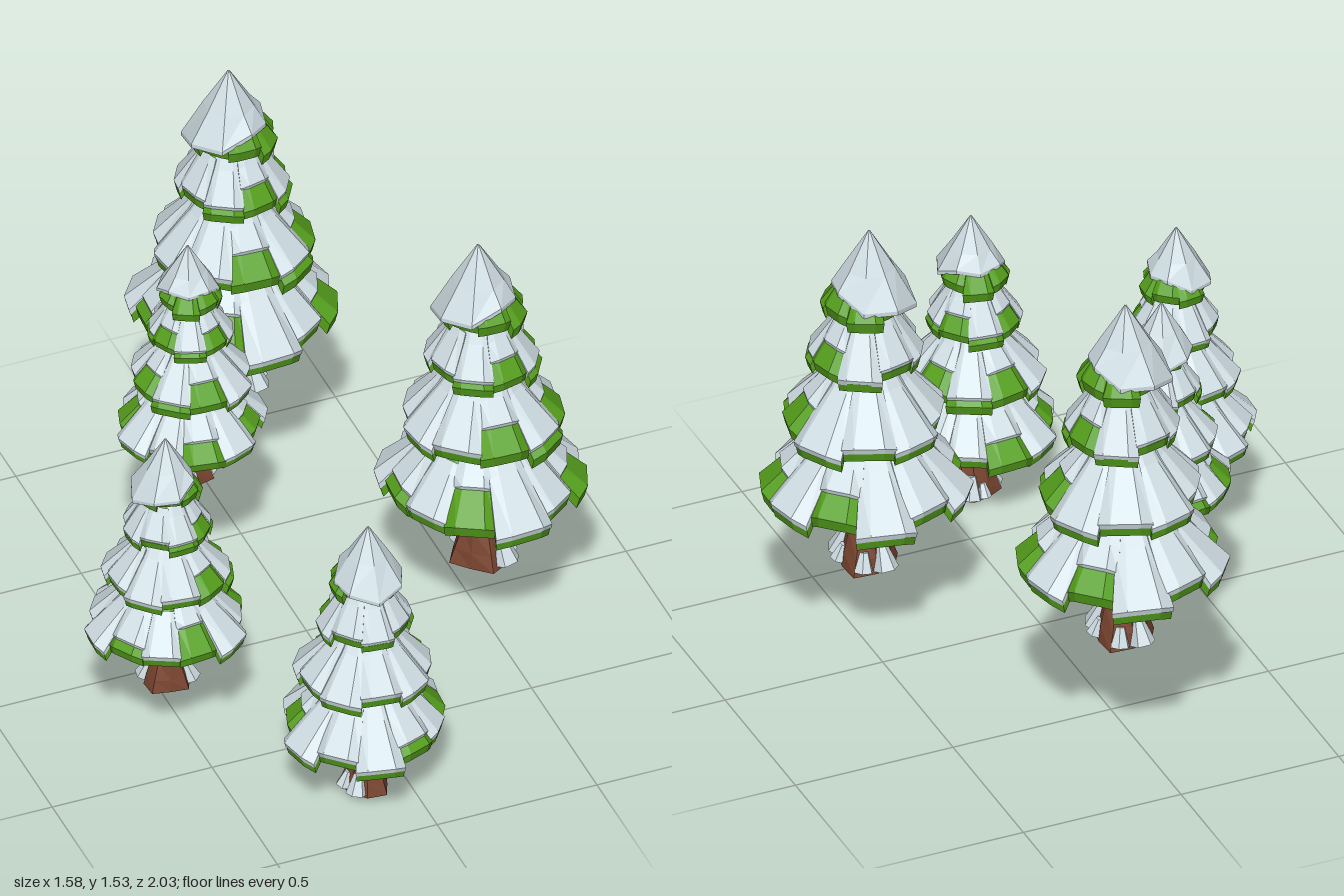
import * as THREE from 'three';

const material = (name, color) => {
  const m = new THREE.MeshStandardMaterial({ color, flatShading: true });
  m.name = name;
  return m;
};

const rad = THREE.MathUtils.degToRad;
const polar = (r, y, a) => [r * Math.sin(a), y, r * Math.cos(a)];
const mix = (a, b, f) => a.map((v, i) => v + (b[i] - v) * f);
const profile = (points) => points.map(([x, y]) => new THREE.Vector2(x, y));

// One drooping bough: a folded slab lofted along [radius, height] stations
function addSlab(out, stations, angle, half, lift, thick, droop) {
  const across = [-1, -0.5, 0.5, 1];
  const quad = (a, b, c, d) => out.push(...a, ...b, ...c, ...a, ...c, ...d);
  const rings = stations.map(([r, y], s) => {
    const last = s === stations.length - 1;
    const point = (u, drop) => {
      const edge = Math.abs(u) === 1;
      return polar(
        r * (edge && last ? 0.95 : 1) - drop * 0.25,
        y + lift - drop - (edge ? droop * (s + 1) / stations.length : 0),
        angle + u * half * (last && edge ? 0.96 : 1));
    };
    const top = across.map((u) => point(u, 0));
    const bottom = across.map((u) => point(u, thick));
    return [...top, ...bottom.reverse()];
  });
  for (let s = 0; s < rings.length - 1; s++) {
    for (let k = 0; k < 8; k++) {
      const n = (k + 1) % 8;
      quad(rings[s][k], rings[s + 1][k], rings[s + 1][n], rings[s][n]);
    }
  }
  const first = rings[0], end = rings[rings.length - 1];
  for (let k = 0; k < 3; k++) {
    quad(end[k], end[7 - k], end[6 - k], end[k + 1]);
    quad(first[k + 1], first[6 - k], first[7 - k], first[k]);
  }
}

function toGeometry(positions) {
  const g = new THREE.BufferGeometry();
  g.setAttribute('position', new THREE.Float32BufferAttribute(positions, 3));
  g.computeVertexNormals();
  return g;
}

// Lowest boughs, evenly turned: length factor and snow cover
const lowBoughs = [
  [1.05, 1], [0.94, 1], [1.06, 0.55], [1.04, 1], [0.96, 0.5], [1.06, 1],
  [0.96, 1], [1.04, 1], [0.95, 0.8], [0.92, 1], [0.95, 0.25],
].map(([len, cover], i, all) => ({ deg: 4 + (i * 360) / all.length, half: 18, len, cover }));

// Upper boughs: the front right side is longer and carries less snow
const ringOfBoughs = (count, start, bare) => Array.from({ length: count }, (_, i) => {
  const deg = start + (i * 360) / count;
  const open = Math.cos(rad(deg - 40));
  const cover = open < 0.3 ? 1 : i % 2 ? 0.9 : 0.5;
  const len = 1 + 0.05 * Math.cos(rad(deg - 90)) + (i % 2 ? 0.02 : -0.03);
  return { deg, half: 190 / count, len, cover: bare ? 0 : cover };
});

// Inner, middle and tip stations of each tier
const tiers = [
  { stations: [[0.06, 0.54], [0.18, 0.405], [0.295, 0.29]], thick: 0.036, boughs: lowBoughs },
  { stations: [[0.05, 0.745], [0.125, 0.64], [0.24, 0.515]], thick: 0.036, boughs: ringOfBoughs(9, -2) },
  { stations: [[0.04, 0.935], [0.1, 0.83], [0.168, 0.73]], thick: 0.03, boughs: ringOfBoughs(8, 14) },
  { stations: [[0.03, 1.03], [0.08, 0.975], [0.128, 0.91]], thick: 0.036, boughs: ringOfBoughs(7, 0, true) },
];

function buildParts(mats) {
  const parts = [];
  const add = (name, geometry, mat) => parts.push({ name, geometry, mat });

  // Trunk with flared, uneven roots
  const trunk = new THREE.LatheGeometry(
    profile([[0, 0], [0.088, 0], [0.076, 0.05], [0.056, 0.12], [0.05, 0.28], [0.04, 0.5]]), 8);
  const p = trunk.attributes.position;
  for (let i = 0; i < p.count; i++) {
    const flare = Math.max(0, 1 - p.getY(i) / 0.12);
    const a = Math.atan2(p.getX(i), p.getZ(i));
    const k = 1 + flare * 0.17 * Math.cos(3 * a - 0.8);
    p.setX(i, p.getX(i) * k);
    p.setZ(i, p.getZ(i) * k);
  }
  add('trunk', trunk, mats.bark);

  // Snow heaped against the roots
  [[36, 0.042], [72, 0.026], [150, 0.03], [198, 0.038]].forEach(([deg, r]) => {
    const clump = new THREE.CylinderGeometry(r * 0.45, r, r * 2, 6, 1);
    clump.rotateX(-0.3);
    clump.translate(0, r + 0.012, 0.074);
    clump.rotateY(rad(deg));
    add('rootSnow', clump, mats.snow);
  });

  tiers.forEach(({ stations, boughs, thick }, t) => {
    const green = [], snow = [];
    const [inner, mid, tip] = stations;
    const droop = tip[0] * 0.06;
    boughs.forEach(({ deg, half, len, cover }, i) => {
      const lift = i % 2 ? -0.006 : 0.005;
      const end = [tip[0] * len, tip[1] - (len - 1) * 0.2];
      addSlab(green, [inner, mid, end], rad(deg), rad(half), lift, thick, droop);
      if (!cover) return;
      // Snow lies on part or all of the bough
      const from = mix(inner, mid, [0.8, 0.4, 0.55][i % 3]);
      const to = mix(mid, end, cover === 1 ? 1.04 : cover);
      addSlab(snow, [from, mid, to], rad(deg), rad(half * 1.02), lift + 0.016, 0.018, droop);
    });
    add('boughsTier' + (t + 1), toGeometry(green), mats.needles);
    if (snow.length) add('snowTier' + (t + 1), toGeometry(snow), mats.snow);

    // Inner needles closing the gaps between boughs
    const core = new THREE.LatheGeometry(profile([
      [0.035, tip[1] + tip[0] * 0.12], [tip[0] * 0.78, tip[1] + tip[0] * 0.04],
      [mid[0] * 0.92, mid[1] - 0.012], [inner[0] * 0.85, inner[1]],
    ]), 10);
    add('needleCoreTier' + (t + 1), core, mats.needles);
  });

  // Snow cap, its rim lower at the back left and raised at the front right
  const cap = [];
  const n = 8;
  const capPoint = ([r, y, ragged], i) => {
    const k = i % n;
    const a = (k / n) * Math.PI * 2 + 0.25;
    const side = ragged * Math.cos(a - rad(55));
    const jag = ragged * (k % 2 ? -0.01 : 0.01);
    const [px, py, pz] = polar(r * (1 - 0.12 * side), y + 0.03 * side + jag, a);
    return [px - 0.008, py, pz];
  };
  const rows = [[0.08, 0.935, 1], [0.124, 0.922, 1], [0.124, 0.936, 1], [0.075, 1.015, 0], [0.002, 1.136, 0]];
  for (let s = 0; s < rows.length - 1; s++) {
    for (let i = 0; i < n; i++) {
      const a = capPoint(rows[s], i), b = capPoint(rows[s], i + 1);
      const c = capPoint(rows[s + 1], i + 1), d = capPoint(rows[s + 1], i);
      cap.push(...a, ...b, ...c, ...a, ...c, ...d);
    }
  }
  add('snowCap', toGeometry(cap), mats.snow);
  return parts;
}

export function createModel() {
  const mats = {
    snow: material('snow', 0xcfdde3),
    needles: material('needles', 0x559f1c),
    bark: material('bark', 0x7a4530),
  };
  const parts = buildParts(mats);
  const forest = new THREE.Group();
  forest.name = 'snowyPines';

  // Each tree: name, x, base height, z, size, turn in degrees
  [
    ['backPine', 0.055, 0.392, -0.71, 1.0, 0],
    ['rightPine', 0.48, 0.25, 0.16, 1.0, 0],
    ['middlePine', -0.235, 0.405, -0.325, 0.735, -79],
    ['leftPine', -0.55, 0.172, 0.275, 0.78, 35],
    ['frontPine', -0.115, 0, 0.74, 0.828, 115],
  ].forEach(([name, x, y, z, size, turn]) => {
    const tree = new THREE.Group();
    tree.name = name;
    parts.forEach((part) => {
      const mesh = new THREE.Mesh(part.geometry, part.mat);
      mesh.name = part.name;
      tree.add(mesh);
    });
    tree.position.set(x, y, z);
    tree.scale.setScalar(size);
    tree.rotation.y = rad(turn);
    forest.add(tree);
  });
  return forest;
}
